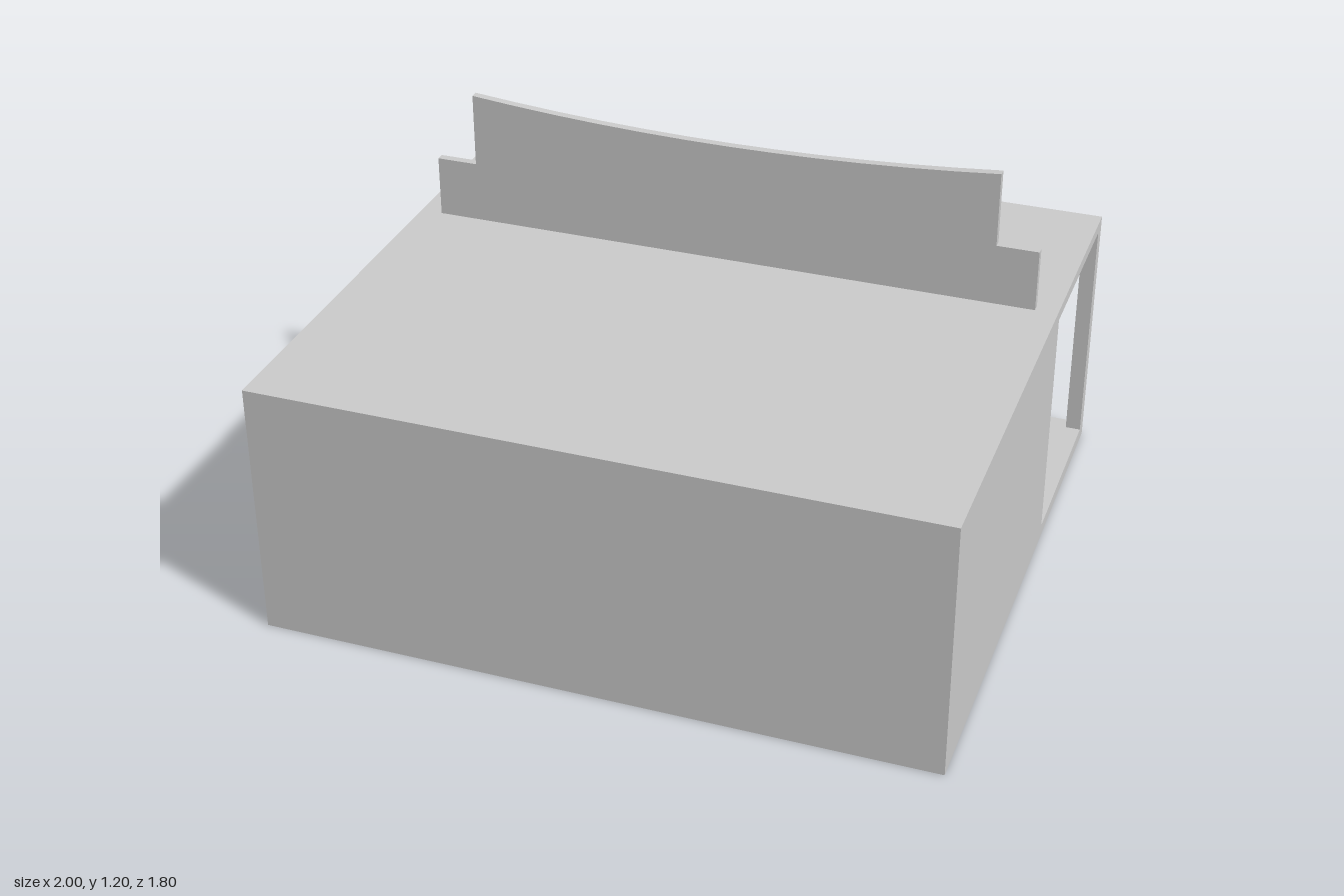
import * as THREE from 'three';

export function createModel() {
  const group = new THREE.Group();
  const material = new THREE.MeshStandardMaterial({ color: 0xcccccc, flatShading: true });

  const add = (name, geometry) => {
    const mesh = new THREE.Mesh(geometry, material);
    mesh.name = name;
    group.add(mesh);
    return mesh;
  };
  // Box given by its extents on each axis
  const box = (name, [x0, x1], [y0, y1], [z0, z1]) =>
    add(name, new THREE.BoxGeometry(x1 - x0, y1 - y0, z1 - z0))
      .position.set((x0 + x1) / 2, (y0 + y1) / 2, (z0 + z1) / 2);

  const floorTop = 0.04, roofBottom = 0.753, height = 0.787;
  const wallZ = -0.275, back = -0.9, front = 0.9, post = 0.046;

  // Closed front building
  box('frontBuilding', [-1, 1], [0, height], [wallZ, front]);

  // Open rear porch: floor, roof and posts
  box('porchFloor', [-1, 1], [0, floorTop], [back, wallZ]);
  box('porchRoof', [-1, 1], [roofBottom, height], [back, wallZ]);
  for (const x of [-1, -0.302, 0.309, 1 - post]) {
    box('porchPost', [x, x + post], [floorTop, roofBottom], [back, back + post]);
  }

  // Stepped parapet with a sagging top edge
  const shape = new THREE.Shape();
  shape.moveTo(-0.933, height);
  shape.lineTo(0.933, height);
  shape.lineTo(0.933, 0.974);
  shape.lineTo(0.808, 0.974);
  shape.lineTo(0.808, 1.2);
  shape.quadraticCurveTo(0, 1.118, -0.808, 1.2);
  shape.lineTo(-0.808, 0.974);
  shape.lineTo(-0.933, 0.974);
  shape.closePath();
  add('parapet', new THREE.ExtrudeGeometry(shape, {
    depth: 0.025, bevelEnabled: false, curveSegments: 12,
  })).position.z = wallZ;

  return group;
}
